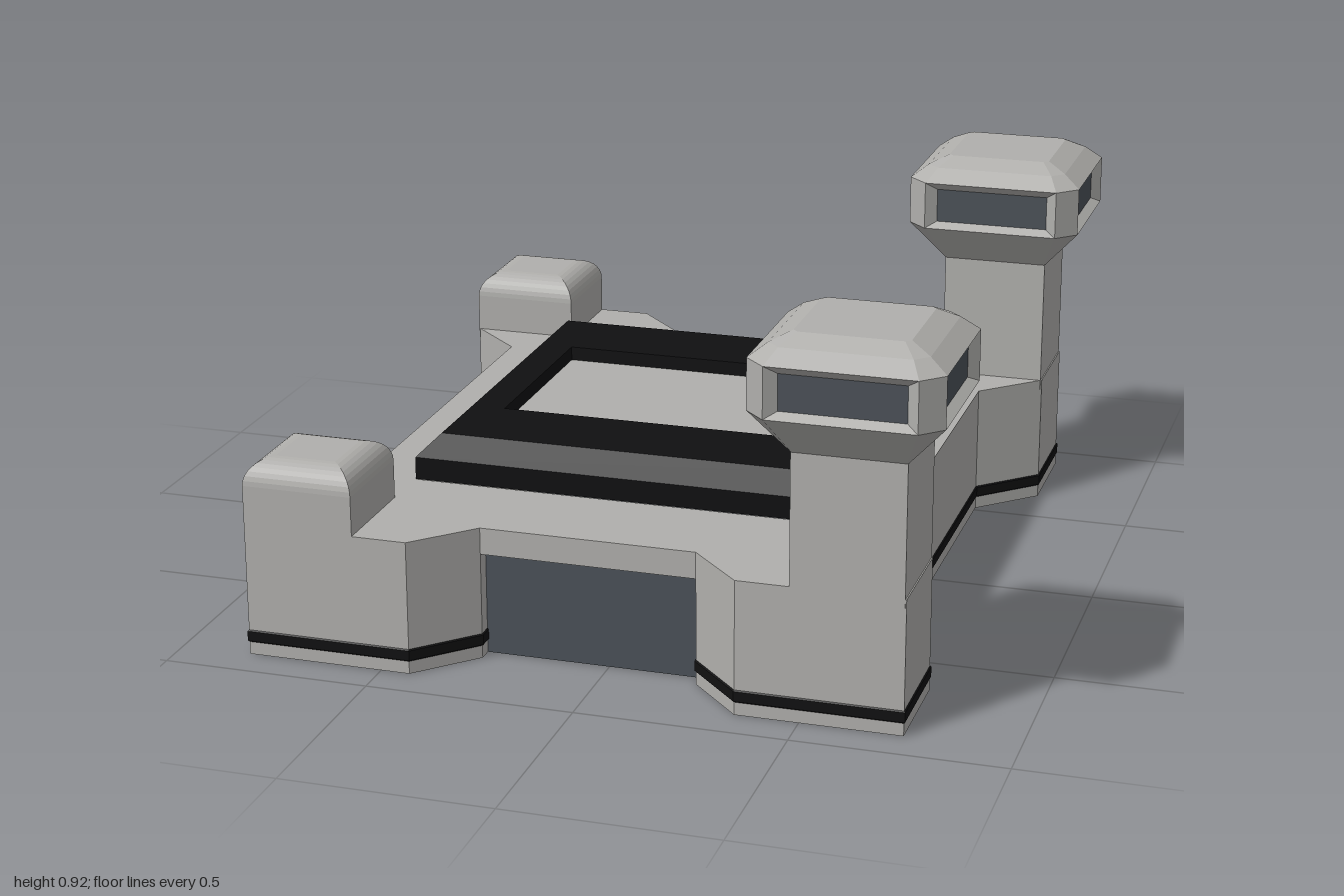
import * as THREE from 'three';

const mat = (name, color, side = THREE.FrontSide) => {
  const m = new THREE.MeshStandardMaterial({ color, side });
  m.name = name;
  return m;
};

// Skin a list of cross-section loops with flat quads; optionally cap the last loop
function loft(sections, cap = false) {
  const pos = [];
  const tri = (a, b, c) => pos.push(...a, ...b, ...c);
  for (let i = 0; i + 1 < sections.length; i++) {
    const s = sections[i], t = sections[i + 1];
    for (let j = 0; j < s.length; j++) {
      const k = (j + 1) % s.length;
      tri(s[j], s[k], t[k]);
      tri(s[j], t[k], t[j]);
    }
  }
  if (cap) {
    const e = sections[sections.length - 1];
    for (let j = 1; j + 1 < e.length; j++) tri(e[0], e[j], e[j + 1]);
  }
  const g = new THREE.BufferGeometry();
  g.setAttribute('position', new THREE.Float32BufferAttribute(pos, 3));
  g.computeVertexNormals();
  return g;
}

// Horizontal loops: plain rectangle and square with cut corners
const rect = (hx, hz, y) => [[hx, y, hz], [hx, y, -hz], [-hx, y, -hz], [-hx, y, hz]];
const cutSquare = (h, c, y) => {
  const a = h - c;
  return [[h, y, a], [h, y, -a], [a, y, -h], [-a, y, -h], [-h, y, -a], [-h, y, a], [-a, y, h], [a, y, h]];
};

const DOOR_L = -0.30, DOOR_R = 0.22, DOOR_H = 0.26, BASE_H = 0.325;

// Footprint with four bastions; the front and back walls may be notched for the doors
function footprint(notched) {
  const half = [[0.6, 0.515], [0.74, 0.65], [0.74, 0.907], [0.35, 0.907], [DOOR_R, 0.772]];
  if (notched) half.push([DOOR_R, 0.73], [DOOR_L, 0.73]);
  half.push([DOOR_L, 0.772], [-0.43, 0.907], [-0.83, 0.907], [-0.83, 0.645], [-0.69, 0.515]);
  const all = [...half, ...half.map(([x, z]) => [x, -z]).reverse()];
  return new THREE.Shape(all.map(([x, z]) => new THREE.Vector2(x, z)));
}

// Hollow courtyard, grown by g, with optional arms reaching behind the doors
function courtyard(g, arms) {
  const l = -0.56 - g, r = 0.475 + g, z = 0.64 + g;
  const half = [[r, z]];
  if (arms) half.push([DOOR_R, z], [DOOR_R, 0.72], [DOOR_L, 0.72], [DOOR_L, z]);
  half.push([l, z]);
  const all = [...half, ...half.map(([x, y]) => [x, -y]).reverse()];
  return new THREE.Path(all.map(([x, y]) => new THREE.Vector2(x, y)));
}

function layer(y0, y1, notched, grow = 0, bevel = 0) {
  const shape = footprint(notched);
  shape.holes.push(courtyard(grow, notched));
  const g = new THREE.ExtrudeGeometry(shape, {
    depth: y1 - y0 - 2 * bevel, bevelEnabled: bevel > 0,
    bevelSize: bevel, bevelThickness: bevel, bevelSegments: 1,
  });
  return g.rotateX(-Math.PI / 2).translate(0, y0 + bevel, 0);
}

export function createModel() {
  const stone = mat('pale stone', 0xb0afac);
  const black = mat('black trim', 0x101011);
  const slate = mat('slate', 0x4b5158);
  const root = new THREE.Group();
  root.name = 'fort';
  const add = (parent, name, geo, material, x = 0, y = 0, z = 0) => {
    const m = new THREE.Mesh(geo, material);
    m.name = name;
    m.position.set(x, y, z);
    parent.add(m);
    return m;
  };

  // Base walls and stripe
  add(root, 'lowerWalls', layer(0, DOOR_H, true), stone);
  add(root, 'upperWalls', layer(DOOR_H, BASE_H, false), stone);
  add(root, 'wallStripe', layer(0.031, 0.061, true, 0.02, 0.003), black);

  // Doors, sills and roof strips at both ends
  const doorX = (DOOR_L + DOOR_R) / 2, doorW = DOOR_R - DOOR_L;
  for (const s of [1, -1]) {
    add(root, 'door', new THREE.BoxGeometry(doorW, DOOR_H, 0.024), slate, doorX, DOOR_H / 2 + 0.0005, s * 0.725);
    add(root, 'doorSill', new THREE.BoxGeometry(doorW, 0.008, 0.08), stone, doorX, 0.004, s * 0.68);
    add(root, 'roofStrip', new THREE.BoxGeometry(1.035, 0.01, 0.126), stone, -0.0425, BASE_H - 0.005, s * 0.577);
  }

  // Bevelled black roof frame around a sunken panel
  const frame = [
    rect(0.518, 0.515, 0.325), rect(0.518, 0.515, 0.38), rect(0.468, 0.465, 0.43),
    rect(0.385, 0.253, 0.43), rect(0.385, 0.253, 0.325), rect(0.518, 0.515, 0.325),
  ];
  add(root, 'roofFrame', loft(frame), black, -0.0425, 0, -0.003);
  add(root, 'roofPanel', new THREE.BoxGeometry(0.77, 0.05, 0.506), stone, -0.0425, 0.37, -0.003);

  // Low corner turrets with rounded tops
  const turret = [rect(0.134, 0.132, 0.3)];
  for (let i = 0; i <= 8; i++) {
    const a = (i / 8) * Math.PI / 2, inset = 0.06 * (1 - Math.cos(a));
    turret.push(rect(0.134 - inset, 0.132 - inset, 0.42 + 0.06 * Math.sin(a)));
  }
  for (const s of [1, -1]) add(root, 'lowTurret', loft(turret, true), stone, -0.696, 0, s * 0.775);

  // Tall watchtowers with windowed heads
  const h = 0.22, c = 0.05, a = h - c, y0 = 0.74, y1 = 0.86, depth = 0.022;
  const opening = (w, b, t, z) => [[-w, b, z], [w, b, z], [w, t, z], [-w, t, z]];
  for (const s of [1, -1]) {
    const tower = new THREE.Group();
    tower.name = 'watchtower';
    tower.position.set(0.606, 0, s * 0.777);
    root.add(tower);
    add(tower, 'towerShaft', loft([rect(0.131, 0.131, 0.3), rect(0.131, 0.131, 0.645)]), stone);
    add(tower, 'headFlare', loft([cutSquare(0.131, 0.002, 0.64), cutSquare(h, c, y0)]), stone);
    add(tower, 'headRoof', loft([
      cutSquare(h, c, y1), cutSquare(0.178, 0.03, 0.892), cutSquare(0.13, 0.012, 0.915),
    ], true), stone);
    for (let k = 0; k < 4; k++) {
      const side = new THREE.Group();
      side.name = 'headSide';
      side.rotation.y = k * Math.PI / 2;
      tower.add(side);
      add(side, 'cornerPost', loft([[[a, y0, h], [h, y0, a], [h, y1, a], [a, y1, h]]], true), stone);
      add(side, 'windowFrame', loft([opening(a, y0, y1, h), opening(0.1425, 0.755, 0.84, h - depth)]), stone);
      add(side, 'window', new THREE.PlaneGeometry(0.285, 0.085), slate, 0, 0.7975, h - depth);
    }
  }
  return root;
}
